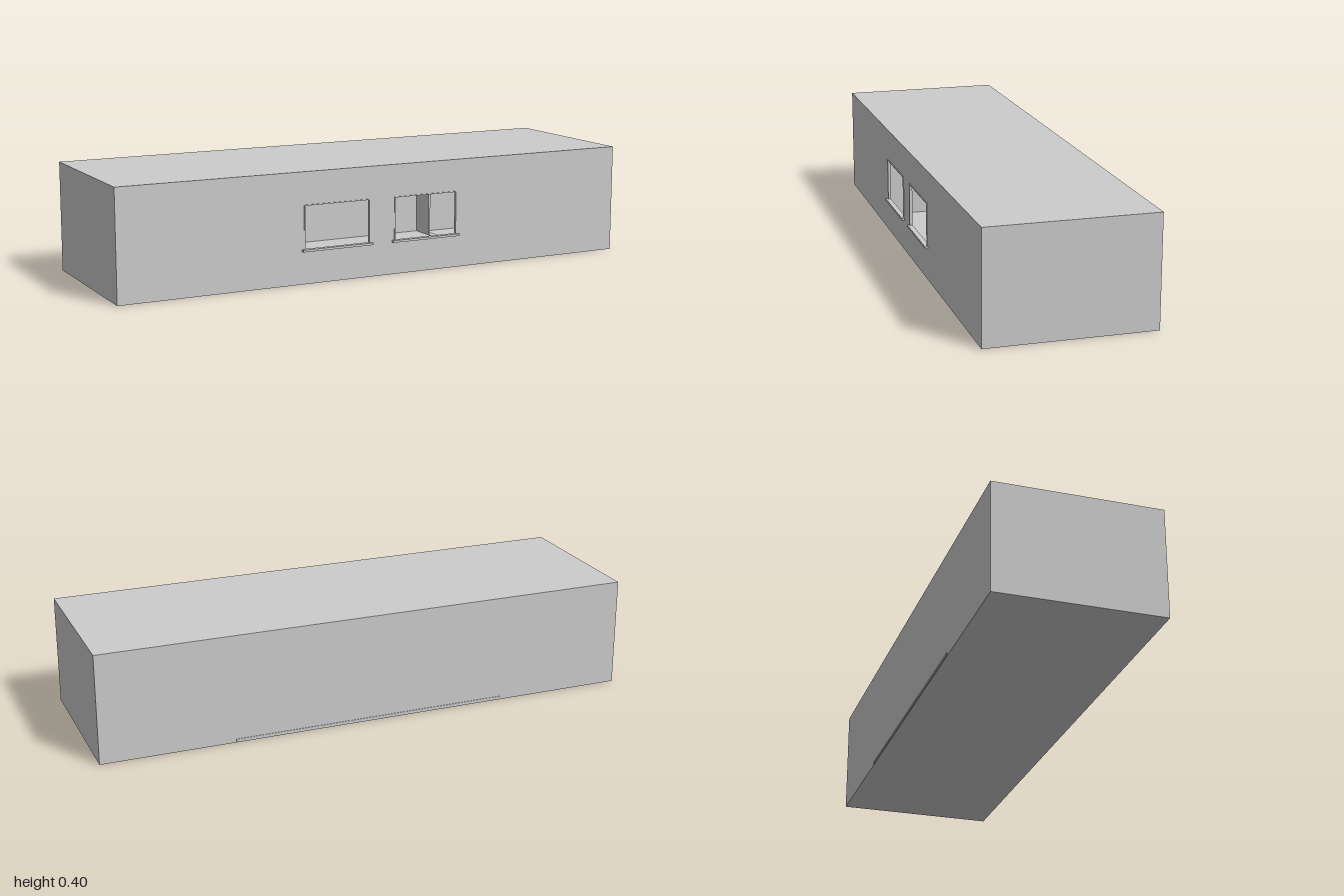
import * as THREE from 'three';

const FRONT = 0.297, BACK = -0.304, HEIGHT = 0.4, WALL = 0.008;
const SLAB = 0.013; // top of the raised middle floor
const WIN = { w: 0.252, y0: 0.125, y1: 0.28, centres: [-0.183, 0.175] };

const material = new THREE.MeshStandardMaterial({ color: 0xcccccc });

// Box given by its lower and upper corners
function slab(parent, name, [x0, y0, z0], [x1, y1, z1]) {
  const mesh = new THREE.Mesh(new THREE.BoxGeometry(x1 - x0, y1 - y0, z1 - z0), material);
  mesh.name = name;
  mesh.position.set((x0 + x1) / 2, (y0 + y1) / 2, (z0 + z1) / 2);
  parent.add(mesh);
  return mesh;
}

function rect(target, x0, y0, x1, y1) {
  target.moveTo(x0, y0);
  target.lineTo(x1, y0);
  target.lineTo(x1, y1);
  target.lineTo(x0, y1);
  target.closePath();
  return target;
}

// Upright wall from a rectangle with rectangular holes
function wallWithHoles(name, outline, holes, depth) {
  const shape = rect(new THREE.Shape(), ...outline);
  holes.forEach((h) => shape.holes.push(rect(new THREE.Path(), ...h)));
  const geometry = new THREE.ExtrudeGeometry(shape, { depth, bevelEnabled: false });
  const mesh = new THREE.Mesh(geometry, material);
  mesh.name = name;
  return mesh;
}

// Thin surround and projecting sill
function createWindow(cx) {
  const group = new THREE.Group();
  group.name = 'window';
  const t = 0.003, h = WIN.w / 2, z0 = FRONT - WALL, z1 = 0.3;
  for (const s of [-1, 1]) {
    const a = s * h, b = s * (h + t);
    slab(group, 'frameJamb', [Math.min(a, b), WIN.y0, z0], [Math.max(a, b), WIN.y1, z1]);
  }
  slab(group, 'frameHead', [-h - t, WIN.y1, z0], [h + t, WIN.y1 + t, z1]);
  slab(group, 'sill', [-h - 0.012, WIN.y0 - 0.008, z0], [h + 0.012, WIN.y0, 0.308]);
  group.position.x = cx;
  return group;
}

export function createModel() {
  const model = new THREE.Group();
  model.name = 'building';

  // Outer shell
  slab(model, 'floor', [-1, 0, BACK], [1, WALL, FRONT]);
  slab(model, 'roof', [-1, HEIGHT - WALL, BACK], [1, HEIGHT, FRONT]);
  slab(model, 'backWall', [-1, WALL, BACK], [1, HEIGHT - WALL, BACK + WALL]);
  for (const s of [-1, 1]) {
    const x = s * (1 - WALL / 2);
    slab(model, 'endWall', [x - WALL / 2, WALL, BACK + WALL], [x + WALL / 2, HEIGHT - WALL, FRONT - WALL]);
  }

  // Front wall with two window openings
  const openings = WIN.centres.map((c) => [c - WIN.w / 2, WIN.y0, c + WIN.w / 2, WIN.y1]);
  const front = wallWithHoles('frontWall', [-1, WALL, 1, HEIGHT - WALL], openings, WALL);
  front.position.z = FRONT - WALL;
  model.add(front);
  WIN.centres.forEach((c) => model.add(createWindow(c)));

  // Middle room: raised floor and a partition with a doorway on each side
  slab(model, 'middleFloor', [-0.52, WALL / 2, -0.306], [0.51, SLAB, FRONT - WALL]);
  for (const s of [-1, 1]) {
    const partition = wallWithHoles('partition',
      [-FRONT + WALL, SLAB, -BACK - WALL, HEIGHT - WALL],
      [[0, SLAB + 0.001, 0.2, 0.3]], WALL);
    partition.rotation.y = Math.PI / 2;
    partition.position.x = s * 0.48 - WALL / 2;
    model.add(partition);
  }
  return model;
}
